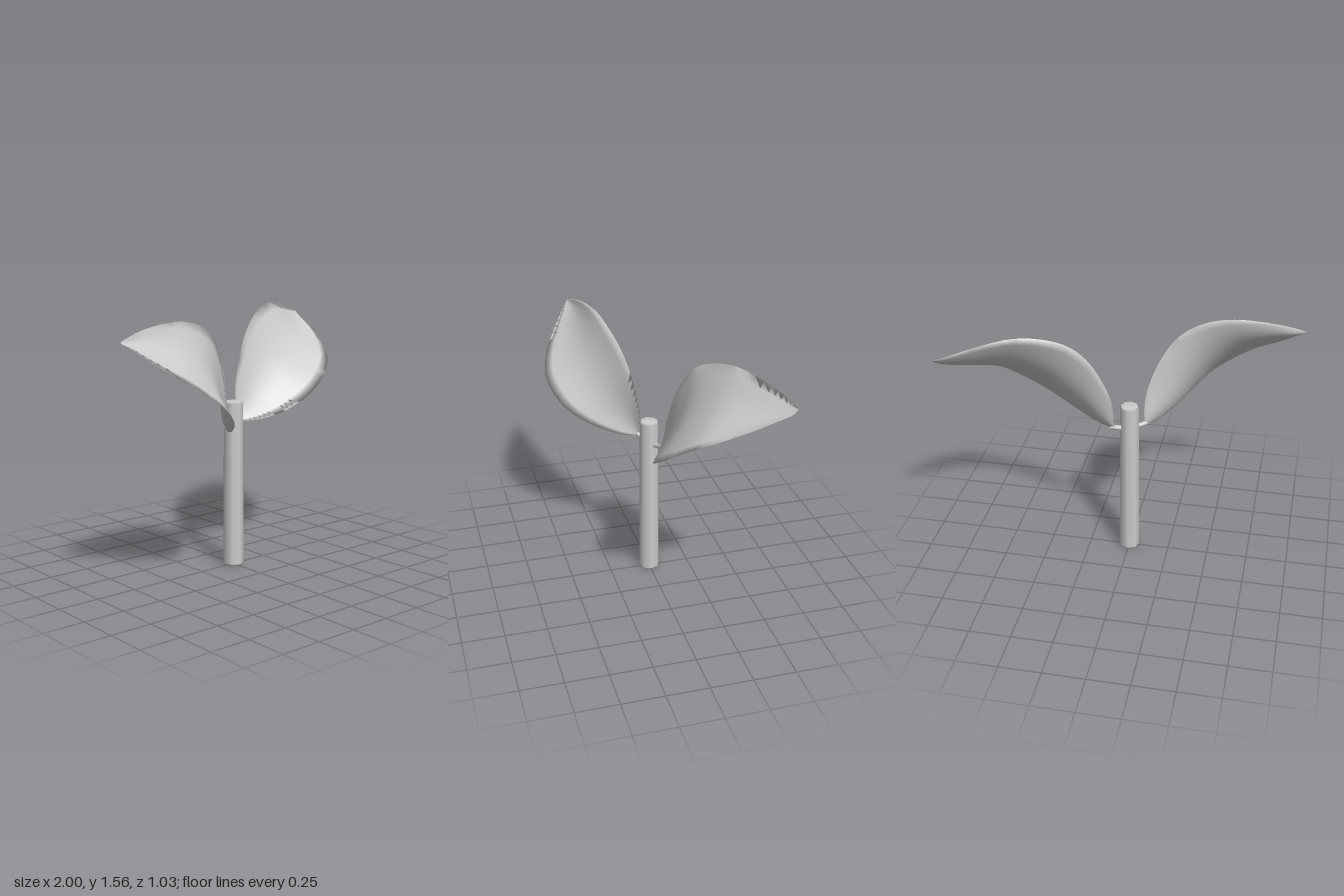
import * as THREE from 'three';

const curve = pts => new THREE.CatmullRomCurve3(pts.map(p => new THREE.Vector3(...p)));

// Thin cupped blade lofted between two edge curves; front faces along length x (b - a)
function leafBlade(edgeA, edgeB, cup, rows = 32, cols = 10) {
  const a = curve(edgeA), b = curve(edgeB);
  const pos = [], index = [], ring = cols * 2;
  for (let i = 0; i <= rows; i++) {
    const t = i / rows;
    const pa = a.getPoint(t), pb = b.getPoint(t);
    const across = pb.clone().sub(pa);
    const along = a.getTangent(t).add(b.getTangent(t));
    const n = along.cross(across).normalize();
    const depth = cup * Math.pow(Math.max(0, Math.sin(Math.PI * t)), 0.8);
    for (let k = 0; k < ring; k++) {
      const s = k <= cols ? k / cols : (ring - k) / cols;
      const bow = Math.max(0, Math.sin(Math.PI * s));
      const half = 0.006 * Math.sqrt(bow) * Math.pow(Math.max(0, Math.sin(Math.PI * t)), 0.25);
      const p = pa.clone().addScaledVector(across, s)
        .addScaledVector(n, -depth * bow + (k < cols ? half : -half));
      pos.push(p.x, p.y, p.z);
      if (i < rows) {
        const k2 = (k + 1) % ring, r0 = i * ring, r1 = r0 + ring;
        index.push(r0 + k, r1 + k, r0 + k2, r1 + k, r1 + k2, r0 + k2);
      }
    }
  }
  const g = new THREE.BufferGeometry();
  g.setAttribute('position', new THREE.Float32BufferAttribute(pos, 3));
  g.setIndex(index);
  g.computeVertexNormals();
  return g;
}

export function createModel() {
  const group = new THREE.Group();
  const grey = new THREE.MeshStandardMaterial({ color: 0xcccccc, side: THREE.DoubleSide });
  grey.name = 'light grey';
  const add = (name, geometry) => {
    const mesh = new THREE.Mesh(geometry, grey);
    mesh.name = name;
    group.add(mesh);
  };

  // Eight-sided, slightly tapered stem with softened ends
  const profile = [[0, 0], [0.055, 0], [0.063, 0.012], [0.057, 1.008], [0.049, 1.02], [0, 1.02]];
  add('stem', new THREE.LatheGeometry(profile.map(p => new THREE.Vector2(...p)), 8));

  // Left leaf, leaning back
  const leftUpper = [
    [0.08, 0.9, -0.06], [0.09, 1.08, -0.09], [0.15, 1.25, -0.12], [0.22, 1.38, -0.155],
    [0.32, 1.48, -0.2], [0.45, 1.54, -0.265], [0.6, 1.565, -0.34], [0.8, 1.535, -0.44],
    [0.93, 1.5, -0.5], [1, 1.48, -0.515]];
  const leftLower = [
    [0.09, 0.88, -0.045], [0.2, 0.885, 0.005], [0.3, 0.91, 0.055], [0.4, 0.95, 0.09],
    [0.55, 1.03, 0.11], [0.7, 1.13, 0.07], [0.8, 1.21, 0], [0.9, 1.3, -0.16],
    [0.96, 1.37, -0.3], [1, 1.45, -0.48]];
  add('leftLeaf', leafBlade(leftLower, leftUpper, 0.06));

  // Right leaf, leaning forward
  const rightUpper = [
    [-0.085, 0.9, 0.03], [-0.085, 1.02, 0.035], [-0.11, 1.15, 0.05], [-0.17, 1.3, 0.08],
    [-0.25, 1.42, 0.12], [-0.35, 1.49, 0.155], [-0.47, 1.53, 0.18], [-0.62, 1.54, 0.205],
    [-0.85, 1.51, 0.24], [-1, 1.465, 0.275]];
  const rightLower = [
    [-0.1, 0.88, 0.04], [-0.15, 0.87, 0.12], [-0.25, 0.905, 0.28], [-0.35, 0.98, 0.42],
    [-0.45, 1.06, 0.49], [-0.57, 1.14, 0.515], [-0.7, 1.235, 0.48], [-0.85, 1.335, 0.395],
    [-0.95, 1.42, 0.32], [-1, 1.455, 0.285]];
  add('rightLeaf', leafBlade(rightUpper, rightLower, 0.06));

  // Short stalks joining the leaves to the stem
  const stalk = (name, pts) => add(name, new THREE.TubeGeometry(curve(pts), 6, 0.015, 8));
  stalk('leftStalk', [[0.03, 0.875, -0.015], [0.07, 0.88, -0.035], [0.105, 0.893, -0.05]]);
  stalk('rightStalk', [[-0.03, 0.872, 0.015], [-0.07, 0.88, 0.03], [-0.1, 0.89, 0.045]]);

  return group;
}
